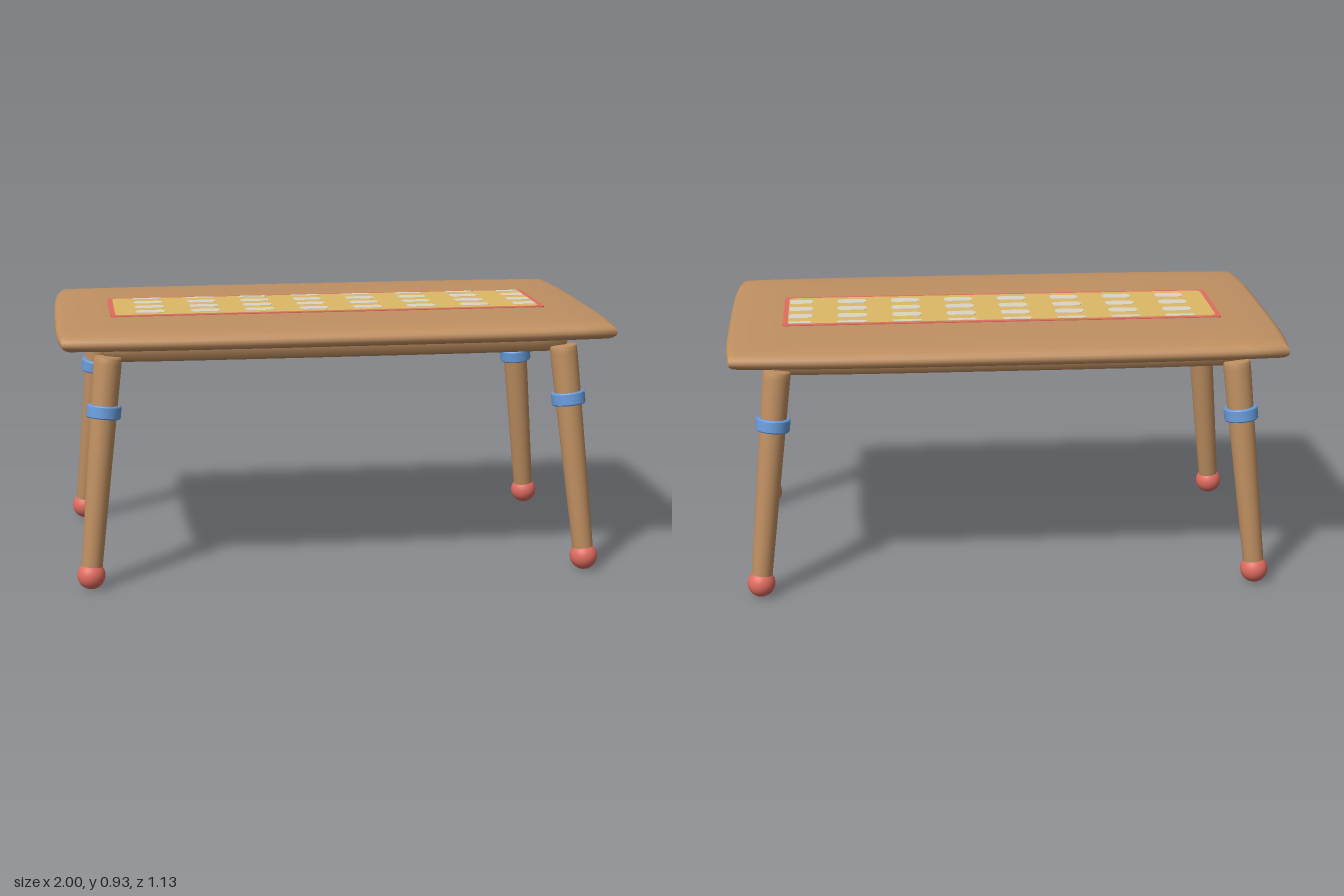
import * as THREE from 'three';

const mat = (name, color) => {
  const m = new THREE.MeshStandardMaterial({ color });
  m.name = name;
  return m;
};

// Softly bowed slab: rings of [halfX, halfZ, y] from the top centre to the bottom centre
function bowedSlab(rings, bowX, bowZ) {
  const n = 16, count = n * 4, pos = [], index = [];
  for (const [a, b, y] of rings) {
    const da = a * bowX, db = b * bowZ;
    for (let side = 0; side < 4; side++) {
      for (let k = 0; k < n; k++) {
        const u = -1 + (2 * k) / n;
        const s = side < 2 ? 1 : -1;
        if (side % 2 === 0) pos.push(s * (a - da * u ** 4), y, s * u * (b - db));
        else pos.push(-s * u * (a - da), y, s * (b - db * u ** 4));
      }
    }
  }
  for (let i = 0; i < rings.length - 1; i++) {
    for (let j = 0; j < count; j++) {
      const p = i * count + j, q = i * count + ((j + 1) % count);
      index.push(p, q, p + count, q, q + count, p + count);
    }
  }
  const geo = new THREE.BufferGeometry();
  geo.setAttribute('position', new THREE.Float32BufferAttribute(pos, 3));
  geo.setIndex(index);
  geo.computeVertexNormals();
  return geo;
}

// Flat rounded plate lying between y0 and y1
function plate(x0, x1, z0, z1, r, y0, y1) {
  const w = (x1 - x0) / 2, h = (z1 - z0) / 2;
  const s = new THREE.Shape();
  s.absarc(w - r, h - r, r, 0, Math.PI / 2);
  s.absarc(r - w, h - r, r, Math.PI / 2, Math.PI);
  s.absarc(r - w, r - h, r, Math.PI, Math.PI * 1.5);
  s.absarc(w - r, r - h, r, Math.PI * 1.5, Math.PI * 2);
  const geo = new THREE.ExtrudeGeometry(s, { depth: y1 - y0, bevelEnabled: false, curveSegments: 5 });
  geo.rotateX(-Math.PI / 2);
  geo.translate((x0 + x1) / 2, y0, (z0 + z1) / 2);
  return geo;
}

const lathe = (points) =>
  new THREE.LatheGeometry(points.map(([r, y]) => new THREE.Vector2(r, y)), 28);

export function createModel() {
  const wood = mat('wood', 0xc09062);
  const blue = mat('blue', 0x6a9cdc);
  const red = mat('coral red', 0xe06c60);
  const yellow = mat('straw yellow', 0xdcb966);
  const grey = mat('warm grey', 0xdad5c6);

  const model = new THREE.Group();
  model.name = 'table';
  const add = (parent, name, geo, material) => {
    const mesh = new THREE.Mesh(geo, material);
    mesh.name = name;
    parent.add(mesh);
    return mesh;
  };

  // Table top, thinning towards a rounded edge
  add(model, 'tableTop', bowedSlab([
    [0, 0, 0.928], [0.5, 0.25, 0.928], [0.77, 0.43, 0.928], [0.9, 0.51, 0.923], [0.972, 0.543, 0.918],
    [0.987, 0.556, 0.912], [0.997, 0.564, 0.903], [1, 0.567, 0.892], [0.997, 0.564, 0.881],
    [0.987, 0.556, 0.872], [0.972, 0.543, 0.866], [0.77, 0.43, 0.856], [0, 0, 0.856],
  ], 0.02, 0.038), wood);

  // Solid apron under the top
  add(model, 'apron', bowedSlab([
    [0, 0, 0.87], [0.845, 0.427, 0.87], [0.847, 0.428, 0.85], [0.842, 0.423, 0.825],
    [0.825, 0.408, 0.805], [0.79, 0.38, 0.797], [0.65, 0.28, 0.795], [0, 0, 0.795],
  ], 0.015, 0.03), wood);

  // Runner: red border, yellow cloth, staggered rows of dashes
  const runner = new THREE.Group();
  runner.name = 'runner';
  model.add(runner);
  add(runner, 'runnerBorder', plate(-0.8, 0.8, -0.198, 0.198, 0.015, 0.923, 0.931), red);
  add(runner, 'runnerCloth', plate(-0.782, 0.782, -0.18, 0.18, 0.02, 0.93, 0.9322), yellow);
  for (let col = 0; col < 8; col++) {
    for (let row = 0; row < 4; row++) {
      const x0 = -0.705 + col * 0.2, x1 = Math.min(x0 + 0.107, 0.78);
      const z0 = Math.max(-0.207 + row * 0.1, -0.178), z1 = -0.153 + row * 0.1;
      const r = row === 0 || col === 7 ? 0.01 : 0.02;
      add(runner, 'runnerDash', plate(x0, x1, z0, z1, r, 0.931, 0.9334), grey);
    }
  }

  // Splayed legs with a blue band and a ball foot
  const legGeo = lathe([[0, 0], [0.037, 0], [0.0495, 0.755], [0.0485, 0.775], [0.045, 0.783], [0, 0.784]]);
  const bandGeo = lathe([
    [0.045, -0.023], [0.058, -0.023], [0.058, -0.023], [0.061, -0.019], [0.061, -0.019],
    [0.061, 0.019], [0.061, 0.019], [0.058, 0.023], [0.058, 0.023], [0.045, 0.023],
  ]);
  const footGeo = new THREE.SphereGeometry(0.05, 28, 20);
  const up = new THREE.Vector3(0, 1, 0);
  for (const sz of [1, -1]) {
    for (const sx of [1, -1]) {
      const leg = new THREE.Group();
      leg.name = (sz > 0 ? 'front' : 'back') + (sx > 0 ? 'Left' : 'Right') + 'Leg';
      leg.position.set(sx * 0.898, 0.05, sz * 0.477);
      const axis = new THREE.Vector3(-sx * 0.08, 0.78, -sz * 0.071).normalize();
      leg.quaternion.setFromUnitVectors(up, axis);
      add(leg, 'legPost', legGeo, wood);
      add(leg, 'legBand', bandGeo, blue).position.y = 0.588;
      add(leg, 'ballFoot', footGeo, red);
      model.add(leg);
    }
  }
  return model;
}
